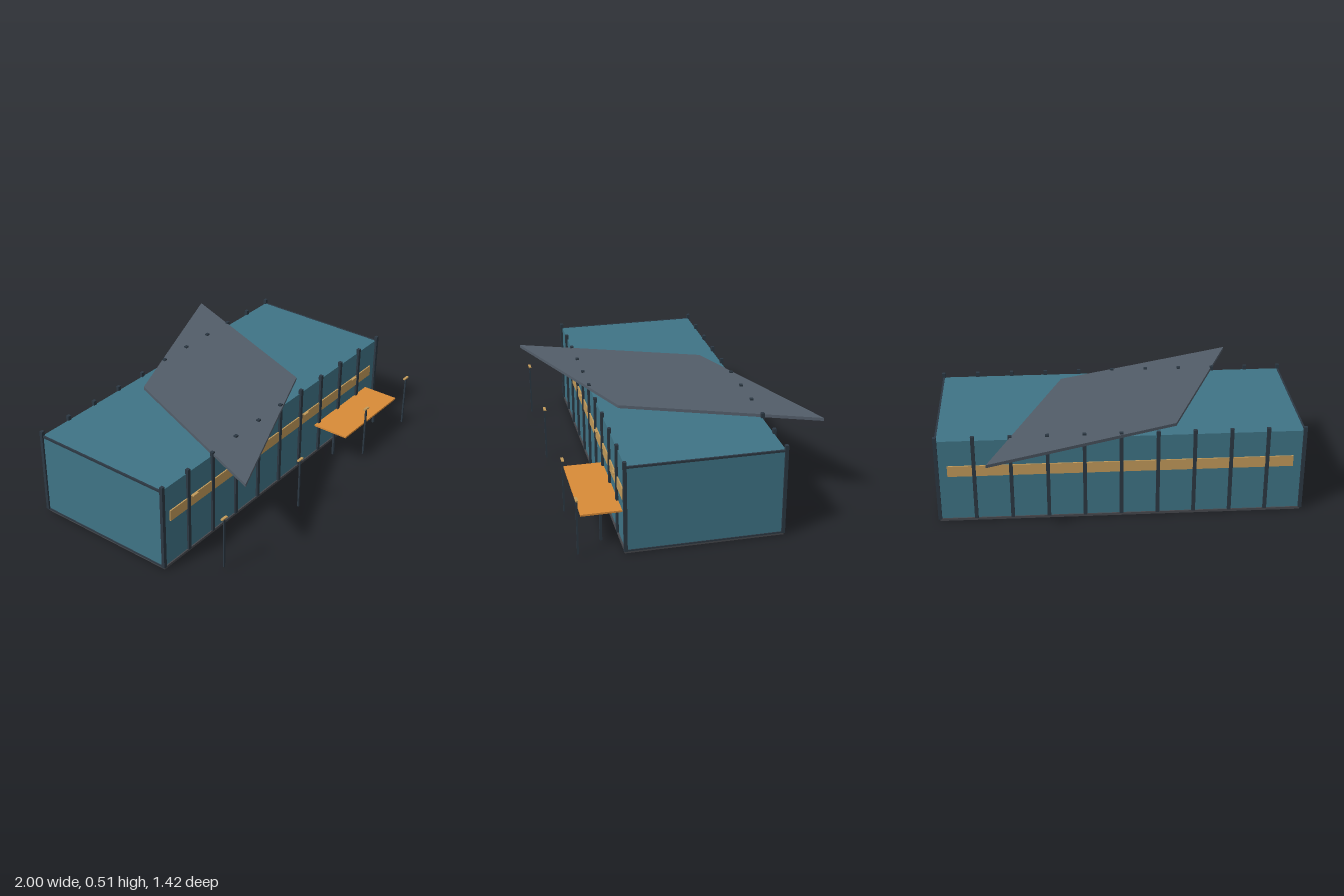
import * as THREE from 'three';

export function createModel() {
  const model = new THREE.Group();
  const mat = (color) => new THREE.MeshStandardMaterial({ color });
  const teal = mat(0x3f7486), slate = mat(0x525d69), steel = mat(0x2c3843);
  const base = mat(0x46484d), tan = mat(0xc29a5a), orange = mat(0xd98b38);

  // Box given by its centre in x and z, and its bottom and top in y
  function box(name, material, w, d, x, z, y0, y1, parent = model) {
    const mesh = new THREE.Mesh(new THREE.BoxGeometry(w, y1 - y0, d), material);
    mesh.position.set(x, (y0 + y1) / 2, z);
    mesh.name = name;
    parent.add(mesh);
    return mesh;
  }

  // Base slab and main volume
  box('baseSlab', base, 1.98, 0.83, 0, 0, 0, 0.014);
  box('hall', teal, 1.98, 0.816, 0, 0, 0.014, 0.484);

  // Window bands and rows of posts along both long sides
  for (const side of [1, -1]) {
    const facade = new THREE.Group();
    facade.name = side > 0 ? 'frontFacade' : 'backFacade';
    model.add(facade);
    box('windowBand', tan, 1.87, 0.012, 0, side * 0.409, 0.274, 0.336, facade);
    for (let i = 0; i < 11; i++) {
      box('post', steel, 0.02, 0.018, -0.99 + i * 0.198, side * 0.411, 0.014, 0.51, facade);
    }
  }

  // Rails along the top and bottom of the end walls
  for (const side of [1, -1]) {
    box('topRail', steel, 0.01, 0.82, side * 0.99, 0, 0.474, 0.485);
    box('bottomRail', steel, 0.01, 0.82, side * 0.99, 0, 0.012, 0.02);
  }

  // Rhombus roof plate laid diagonally over the hall
  const outline = new THREE.Shape(
    [[0.71, 0.71], [-0.305, 0.305], [-0.71, -0.71], [0.305, -0.305]].map(([x, y]) => new THREE.Vector2(x, y))
  );
  const roofGeometry = new THREE.ExtrudeGeometry(outline, { depth: 0.017, bevelEnabled: false });
  roofGeometry.rotateX(-Math.PI / 2);
  const roof = new THREE.Mesh(roofGeometry, slate);
  roof.name = 'roofPlate';
  roof.position.y = 0.484;
  model.add(roof);

  // Raised terrace on two legs
  const terrace = new THREE.Group();
  terrace.name = 'terrace';
  model.add(terrace);
  box('deck', orange, 0.547, 0.212, 0.632, 0.514, 0.189, 0.199, terrace);
  for (const x of [0.41, 0.853]) {
    box('deckLeg', steel, 0.014, 0.012, x, 0.511, 0.014, 0.189, terrace);
  }

  // Free-standing lamps in front
  for (const x of [-0.8, -0.14, 0.52, 0.963]) {
    const lamp = new THREE.Group();
    lamp.name = 'lamp';
    lamp.position.set(x, 0, 0.647);
    model.add(lamp);
    box('lampPole', steel, 0.009, 0.009, 0, 0, 0.014, 0.317, lamp);
    box('lampHead', tan, 0.042, 0.014, 0, 0, 0.316, 0.323, lamp);
  }

  // Small wall lamps above the front window band
  for (const x of [-0.745, -0.248, 0.248, 0.745]) {
    box('wallLamp', tan, 0.04, 0.014, x, 0.419, 0.331, 0.337);
  }

  return model;
}
